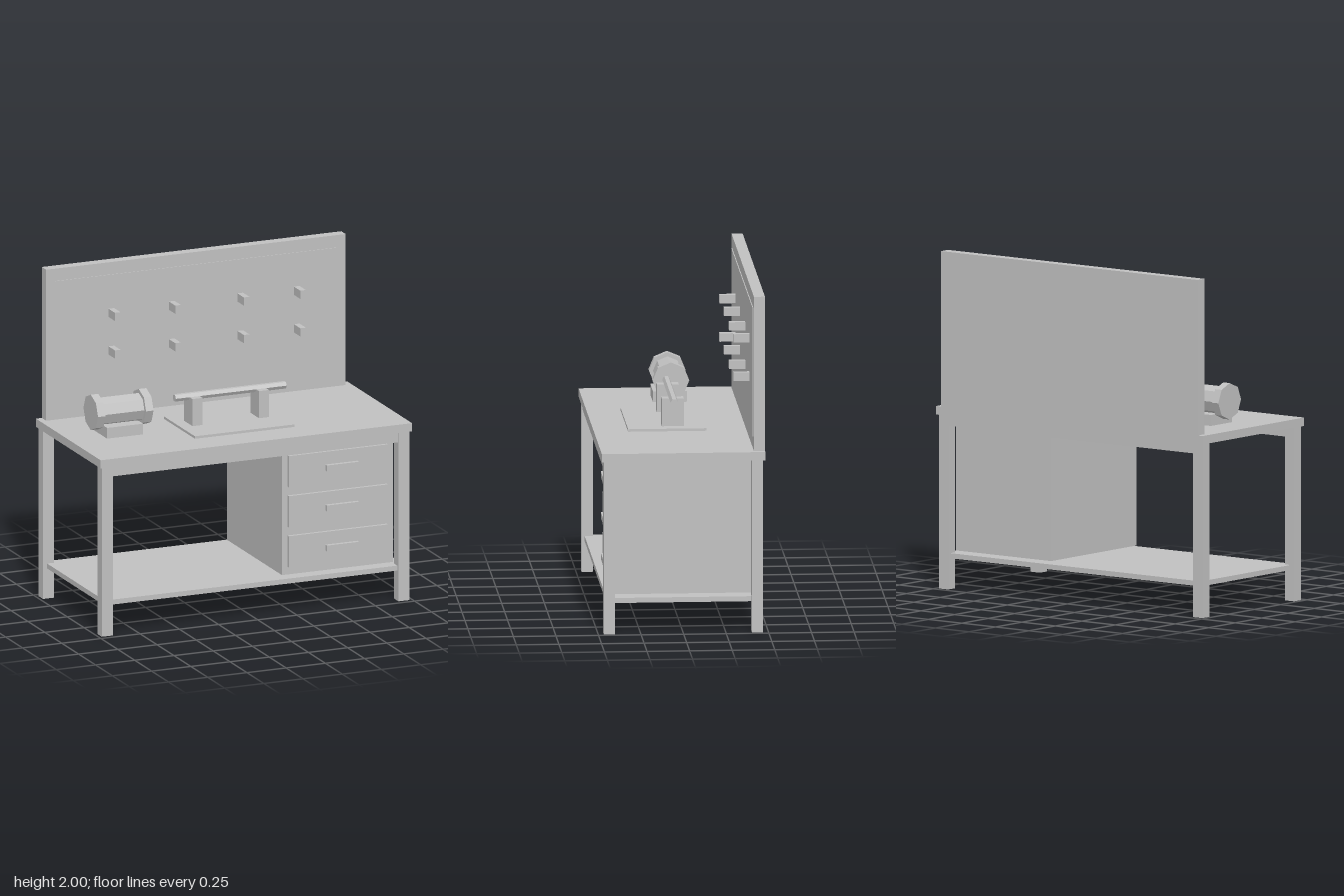
import * as THREE from 'three';

export function createModel() {
  const model = new THREE.Group();
  model.name = 'workbench';
  const grey = new THREE.MeshStandardMaterial({ color: 0xc0c0c0, flatShading: true });
  grey.name = 'plain grey';

  const add = (name, geometry) => {
    const mesh = new THREE.Mesh(geometry, grey);
    mesh.name = name;
    model.add(mesh);
    return mesh;
  };
  // Box from its extents on each axis
  const box = (name, [x0, x1], [y0, y1], [z0, z1]) =>
    add(name, new THREE.BoxGeometry(x1 - x0, y1 - y0, z1 - z0)
      .translate((x0 + x1) / 2, (y0 + y1) / 2, (z0 + z1) / 2));
  // Faceted rod lying along x
  const rod = (name, x0, x1, y, z, radius, sides) =>
    add(name, new THREE.CylinderGeometry(radius, radius, x1 - x0, sides)
      .rotateZ(Math.PI / 2).translate((x0 + x1) / 2, y, z));

  // Table: top, legs, front and back rails, lower shelf
  box('tableTop', [-0.993, 0.993], [1.03, 1.08], [-0.48, 0.48]);
  for (const sx of [-1, 1]) {
    for (const sz of [-1, 1]) {
      add('leg', new THREE.BoxGeometry(0.07, 1.03, 0.066).translate(sx * 0.946, 0.515, sz * 0.435));
    }
  }
  box('frontRail', [-0.911, 0.911], [0.968, 1.03], [0.41, 0.462]);
  box('backRail', [-0.911, 0.911], [0.968, 1.03], [-0.462, -0.41]);
  box('shelf', [-0.955, 0.955], [0.183, 0.213], [-0.45, 0.45]);

  // Drawer cabinet
  box('cabinet', [0.195, 0.902], [0.225, 1.03], [-0.405, 0.405]);
  for (let i = 0; i < 3; i++) {
    const y = 0.368 + i * 0.244;
    box('drawerFront', [0.23, 0.862], [y - 0.095, y + 0.095], [0.405, 0.425]);
    box('drawerHandle', [0.463, 0.667], [y - 0.018, y + 0.018], [0.425, 0.45]);
  }

  // Back board with thin panel and tool pegs
  box('backBoard', [-0.955, 0.955], [1.08, 2], [-0.48, -0.415]);
  box('toolPanel', [-0.9, 0.9], [1.155, 1.925], [-0.415, -0.41]);
  for (const x of [-0.542, -0.157, 0.28, 0.64]) {
    for (const y of [1.465, 1.694]) {
      box('peg', [x - 0.018, x + 0.018], [y - 0.025, y + 0.025], [-0.412, -0.315]);
    }
  }

  // Bench grinder: foot, motor and two wheels
  box('grinderFoot', [-0.777, -0.547], [1.08, 1.145], [-0.127, 0.074]);
  rod('grinderMotor', -0.8, -0.52, 1.22, -0.027, 0.084, 8);
  rod('grinderWheel', -0.838, -0.79, 1.22, -0.027, 0.108, 8);
  rod('grinderWheel', -0.532, -0.484, 1.22, -0.027, 0.108, 8);

  // Work stand: base plate, two posts and the bar resting on them
  box('standPlate', [-0.306, 0.33], [1.08, 1.095], [-0.18, 0.28]);
  box('standPost', [-0.234, -0.17], [1.095, 1.26], [-0.052, 0.077]);
  box('standPost', [0.19, 0.254], [1.095, 1.26], [-0.052, 0.077]);
  rod('standBar', -0.322, 0.385, 1.26, 0.012, 0.023, 6);

  return model;
}
